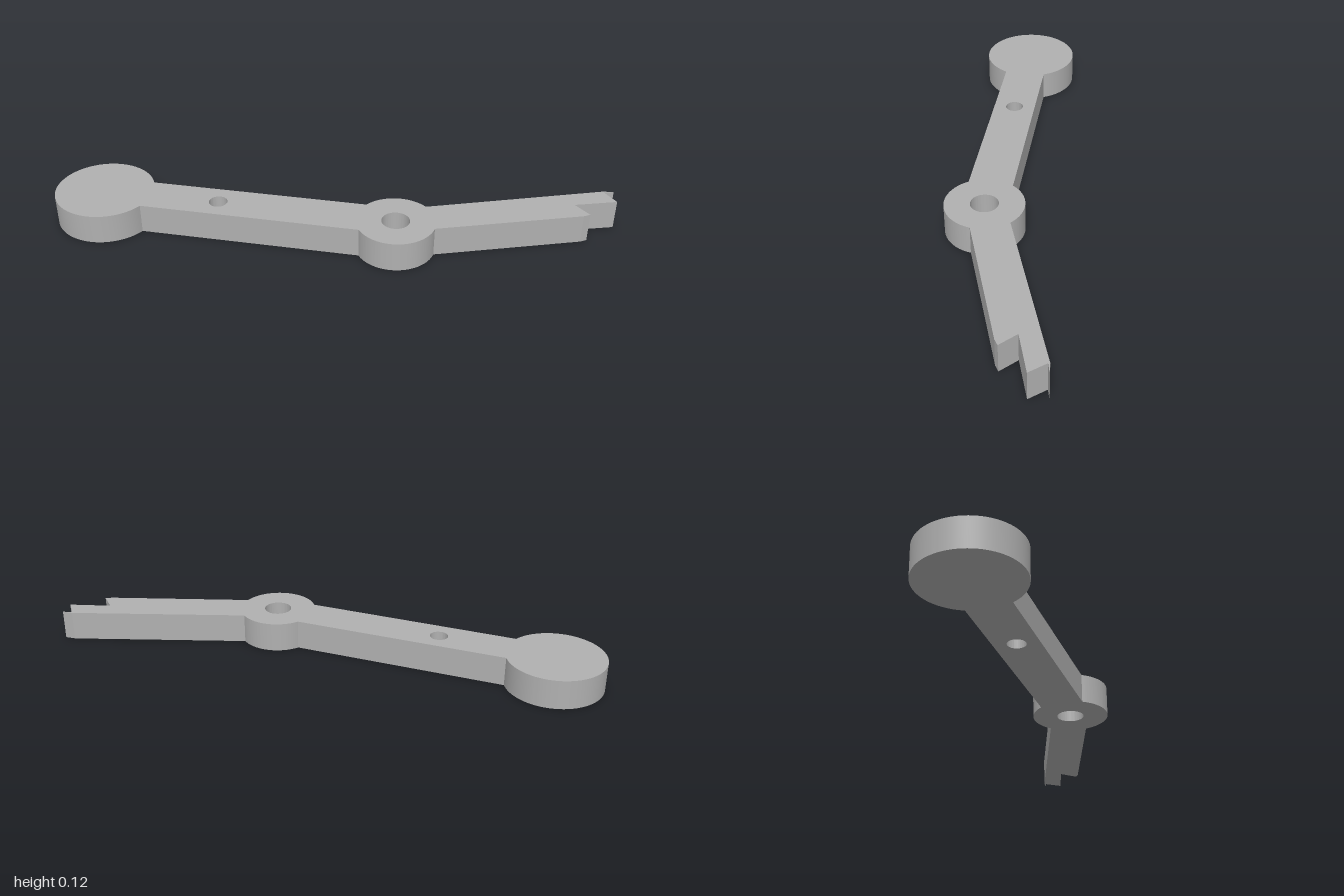
import * as THREE from 'three';
import { toCreasedNormals } from 'three/addons/utils/BufferGeometryUtils.js';

const HEIGHT = 0.122;
const head = { x: -0.8, z: -0.449, r: 0.2 };
const hub = { x: 0.118, z: 0.312, r: 0.158 };

// Plan points are [x, z]; the shape is drawn with y = -z and then laid flat.
function arcBetween(path, disc, from, to) {
  const angle = ([x, z]) => Math.atan2(disc.z - z, x - disc.x);
  path.absarc(disc.x, -disc.z, disc.r, angle(from), angle(to), false);
}

function addHole(shape, x, z, r) {
  const hole = new THREE.Path();
  hole.absarc(x, -z, r, 0, Math.PI * 2, true);
  shape.holes.push(hole);
}

export function createModel() {
  const group = new THREE.Group();
  group.name = 'leverArm';
  const grey = new THREE.MeshStandardMaterial({ color: 0xb0b0b0 });
  grey.name = 'grey';

  const outline = new THREE.Shape();
  // round head
  arcBetween(outline, head, [-0.604, -0.401], [-0.719, -0.267]);
  // front edge of the long arm, then the front of the pivot hub
  arcBetween(outline, hub, [-0.037, 0.297], [0.222, 0.433]);
  // short arm with its hooked tooth, notch and thin pointed tip
  const tip = [
    [0.78, 0.641], [0.809, 0.645], [0.8, 0.561], [0.963, 0.626],
    [0.963, 0.547], [1.0, 0.564], [0.965, 0.54],
  ];
  for (const [x, z] of tip) outline.lineTo(x, -z);
  // back of the hub, closing along the long arm
  arcBetween(outline, hub, [0.278, 0.286], [0.075, 0.158]);
  outline.closePath();

  // pivot hole and small arm hole
  addHole(outline, hub.x, hub.z, 0.056);
  addHole(outline, -0.433, -0.144, 0.037);

  const geometry = new THREE.ExtrudeGeometry(outline, {
    depth: HEIGHT, bevelEnabled: false, curveSegments: 48,
  });
  geometry.rotateX(-Math.PI / 2);

  const lever = new THREE.Mesh(toCreasedNormals(geometry, 0.2), grey);
  lever.name = 'lever';
  group.add(lever);
  return group;
}
